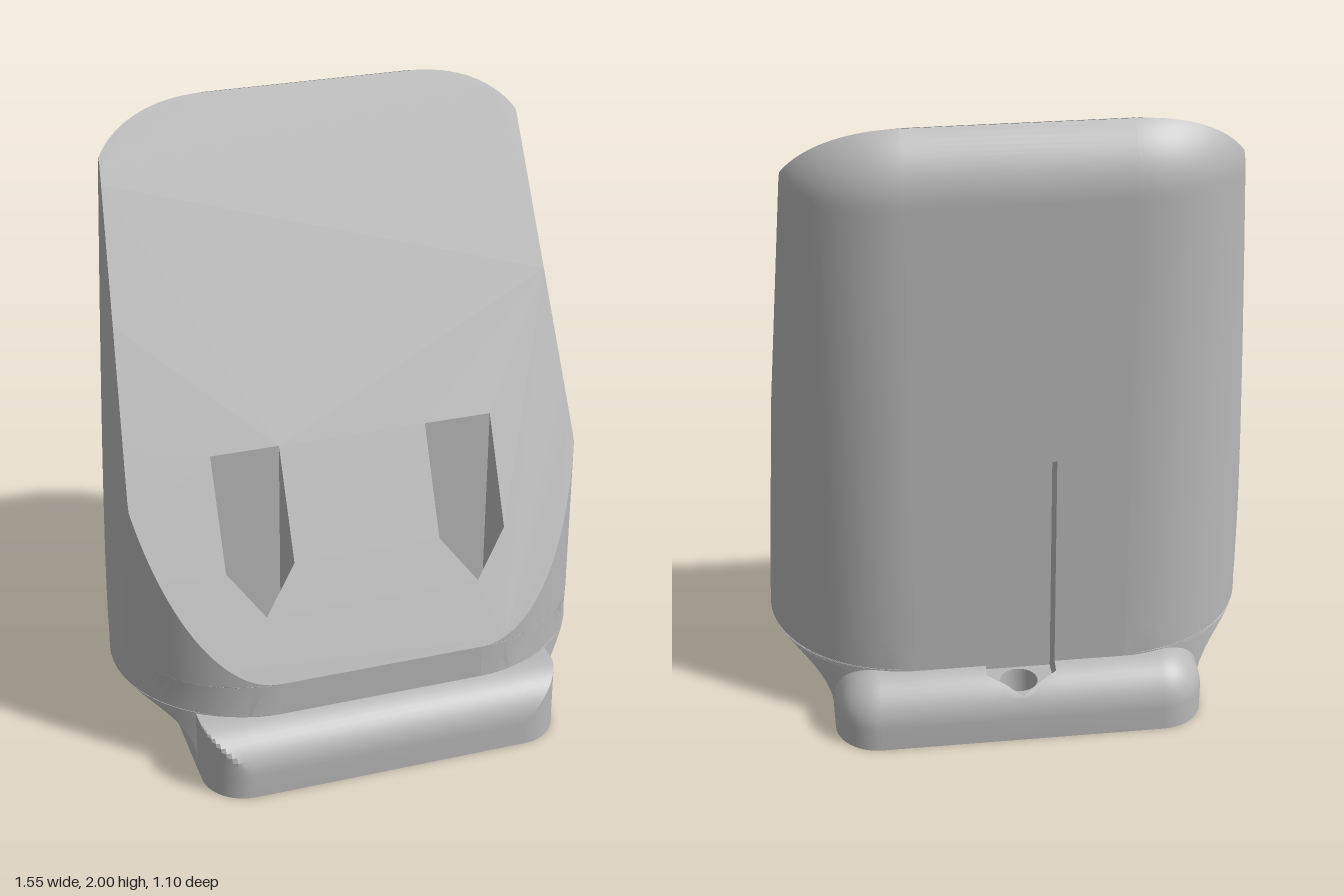
import * as THREE from 'three';
import { toCreasedNormals } from 'three/addons/utils/BufferGeometryUtils.js';

const HALF = 0.335, RAD = 0.44;            // stadium-shaped body plan
const SLOPE_Y = 0.33, K = 0.775 / 1.67;    // sloping front face
const CX = 0.45, CZ = 0.41, R = 0.14;      // base corner centres and fillet radius
const FLOOR = 0.13, HOLE = 0.06, NOTCH_TOP = 0.95, NOTCH_Z = -0.34, W = 0.11;

const frontZ = y => Math.min(RAD, RAD - K * (y - SLOPE_Y));
const slopeY = z => SLOPE_Y + (RAD - z) / K;
const clamp = v => Math.max(-1, Math.min(1, v));

// Surface through rows of [x, y, z] points
function grid(rows, closed = false) {
  const n = rows[0].length, index = [];
  for (let i = 0; i < rows.length - 1; i++) {
    for (let j = 0; j < (closed ? n : n - 1); j++) {
      const a = i * n + j, b = i * n + (j + 1) % n, c = a + n, d = b + n;
      index.push(a, c, b, b, c, d);
    }
  }
  const g = new THREE.BufferGeometry();
  g.setAttribute('position', new THREE.Float32BufferAttribute(rows.flat(2), 3));
  g.setIndex(index);
  return toCreasedNormals(g, 0.4);
}

// Flat polygon with holes
function plate(points, holes = []) {
  const v = p => p.map(([x, y]) => new THREE.Vector2(x, y));
  const s = new THREE.Shape(v(points));
  holes.forEach(h => s.holes.push(new THREE.Path(v(h))));
  return new THREE.ShapeGeometry(s);
}
const level = (points, holes, y) => plate(points, holes).rotateX(Math.PI / 2).translate(0, y, 0);

const circle = (x, z) => Array.from({ length: 32 }, (_, i) => {
  const a = i / 32 * Math.PI * 2;
  return [x + HOLE * Math.cos(a), z + HOLE * Math.sin(a)];
});

// Half of the body's section at height y, from front corner to back flat
function section(y, s) {
  const inset = y > 1.8 ? 0.24 - Math.sqrt(0.24 ** 2 - (y - 1.8) ** 2) : 0;
  const r = RAD - inset, zf = frontZ(y);
  const side = y < 0.225
    ? 0.775 - Math.sqrt(Math.max(0, 0.185 ** 2 - (y - 0.04) ** 2))   // cove under the overhang
    : 0.775 - 0.0613 * (y - 0.225);
  const p0 = Math.asin(clamp(zf / r)), ps = Math.acos(clamp((side - HALF) / r));
  const arc = (a, b, n) => Array.from({ length: n + 1 }, (_, i) => {
    const t = a + (b - a) * i / n;
    return [s * Math.min(side, HALF + r * Math.cos(t)), y, r * Math.sin(t)];
  });
  return [...arc(p0, Math.min(ps, p0), 14), ...arc(Math.min(-ps, p0), -Math.PI / 2, 18)];
}

// Hexagonal cut through the back bead
const hexZ = x => -(0.53 - 0.5 * Math.abs(x));
const rimY = z => 0.08 + Math.sqrt(R * R - (-z - CZ) ** 2);
const hexX = [-W, -W / 2, 0, W / 2, W];

// Base outline at height y, with fillet angle t
function baseRow(y, t, n) {
  const rr = R * Math.cos(t), row = [];
  const angle = i => i / n * Math.PI / 2;
  const front = (s, i) => row.push([s * (CX + R * Math.cos(angle(i))), y, CZ + Math.min(R * Math.sin(angle(i)), rr)]);
  const back = (s, i) => row.push([s * (CX + rr * Math.cos(angle(i))), y, -CZ - rr * Math.sin(angle(i))]);
  for (let i = 0; i <= n; i++) front(1, i);
  for (let i = n; i >= 0; i--) front(-1, i);
  row.push([-CX - R, y, 0.02]);
  for (let i = 0; i <= n; i++) back(-1, i);
  row.push([-W, y, -CZ - rr]);
  hexX.forEach(x => row.push([x, Math.min(y, rimY(hexZ(x))), Math.min(-CZ - rr, hexZ(x))]));
  row.push([W, y, -CZ - rr]);
  for (let i = n; i >= 0; i--) back(1, i);
  row.push([CX + R, y, 0.02]);
  return row;
}

export function createModel() {
  const grey = new THREE.MeshStandardMaterial({ color: 0xb8b8b8, side: THREE.DoubleSide });
  grey.name = 'plain grey';
  const model = new THREE.Group();
  model.name = 'wedgeStand';
  const add = (name, geometry) => {
    const m = new THREE.Mesh(geometry, grey);
    m.name = name;
    model.add(m);
  };

  // Heights: cove, short upright, slope
  const coveYs = Array.from({ length: 13 }, (_, i) => 0.04 + 0.185 * Math.sin(i / 12 * Math.PI / 2));
  const slopeYs = Array.from({ length: 81 }, (_, i) => SLOPE_Y + (2 - SLOPE_Y) * (1 - Math.cos(i / 80 * Math.PI)) / 2);
  const ys = [...coveYs, ...slopeYs];

  // Rounded sides with coves
  add('leftSide', grid(ys.map(y => section(y, 1))));
  add('rightSide', grid(ys.map(y => section(y, -1))));

  // Sloping face with two pocket openings
  const rim = [[-W, 0.13], [W, 0.13], [W, 0.285], [0, 0.35], [-W, 0.285]];
  const well = [[-0.105, 0.13], [0.105, 0.13], [0.105, 0.265], [0, 0.325], [-0.105, 0.265]];
  const edge = slopeYs.map(y => [section(y, 1)[0][0], y]);
  const outline = [...edge, ...edge.map(([x, y]) => [-x, y]).reverse()];
  const slope = plate(outline, [-0.35, 0.35].map(cx => rim.map(([x, z]) => [cx + x, slopeY(z)])));
  const pos = slope.attributes.position;
  for (let i = 0; i < pos.count; i++) pos.setZ(i, frontZ(pos.getY(i)));
  slope.computeVertexNormals();
  add('slopingFace', slope);
  add('frontLip', plate([[-HALF, 0.2], [HALF, 0.2], [HALF, SLOPE_Y], [-HALF, SLOPE_Y]]).translate(0, 0, RAD));

  // Back face with its notch, and the rounded top edge
  add('backFace', plate([[-HALF, FLOOR], [-W, FLOOR], [-W, NOTCH_TOP], [W, NOTCH_TOP], [W, FLOOR],
    [HALF, FLOOR], [HALF, 1.8], [-HALF, 1.8]]).rotateY(Math.PI).translate(0, 0, -RAD));
  const topYs = Array.from({ length: 17 }, (_, i) => 1.8 + 0.2 * i / 16);
  add('topEdge', grid(topYs.map(y => [section(y, 1).at(-1), section(y, -1).at(-1)])));

  // Pockets and screw holes in the slope
  for (const cx of [-0.35, 0.35]) {
    const low = well.map(([x, z]) => [cx + x, FLOOR, z]);
    const high = rim.map(([x, z]) => [cx + x, slopeY(z), z]);
    add('pocketWalls', grid([low, high], true));
    add('pocketFloor', level(low.map(p => [p[0], p[2]]), [circle(cx, 0.2)], FLOOR));
  }

  // Back notch
  const wallZ = [hexZ(W), -RAD, -RAD, NOTCH_Z];
  const wallTop = [rimY(hexZ(W)), rimY(-RAD), NOTCH_TOP, NOTCH_TOP];
  for (const s of [-1, 1]) {
    add('notchSide', grid([wallZ.map(z => [s * W, FLOOR, z]), wallZ.map((z, i) => [s * W, wallTop[i], z])]));
  }
  add('notchBack', grid([FLOOR, NOTCH_TOP].map(y => [[-W, y, NOTCH_Z], [W, y, NOTCH_Z]])));
  add('notchTop', grid([-RAD, NOTCH_Z].map(z => [[-W, NOTCH_TOP, z], [W, NOTCH_TOP, z]])));
  add('notchPoint', grid([hexX.map(x => [x, FLOOR, hexZ(x)]), hexX.map(x => [x, rimY(hexZ(x)), hexZ(x)])]));
  add('notchFloor', level([[-W, NOTCH_Z], [W, NOTCH_Z], [W, hexZ(W)], [0, hexZ(0)], [-W, hexZ(W)]],
    [circle(0, -0.41)], FLOOR));

  // Base plate with filleted edges
  const n = 12, rows = [baseRow(0, 0, n)];
  for (let i = 0; i <= n; i++) {
    const t = i / n * Math.PI / 2;
    rows.push(baseRow(0.08 + R * Math.sin(t), t, n));
  }
  add('baseEdge', grid(rows, true));
  add('baseLedge', level([[-0.59, 0.355], [0.59, 0.355], [0.59, CZ], [-0.59, CZ]], [], 0.22));
  const holes = [[-0.35, 0.2], [0.35, 0.2], [0, -0.41]];
  const foot = rows[0].map(p => [p[0], p[2]]);
  add('baseBottom', level(foot, holes.map(h => circle(...h)), 0));
  for (const h of holes) {
    add('screwHole', grid([0, FLOOR].map(y => circle(...h).map(([x, z]) => [x, y, z])), true));
  }
  return model;
}
